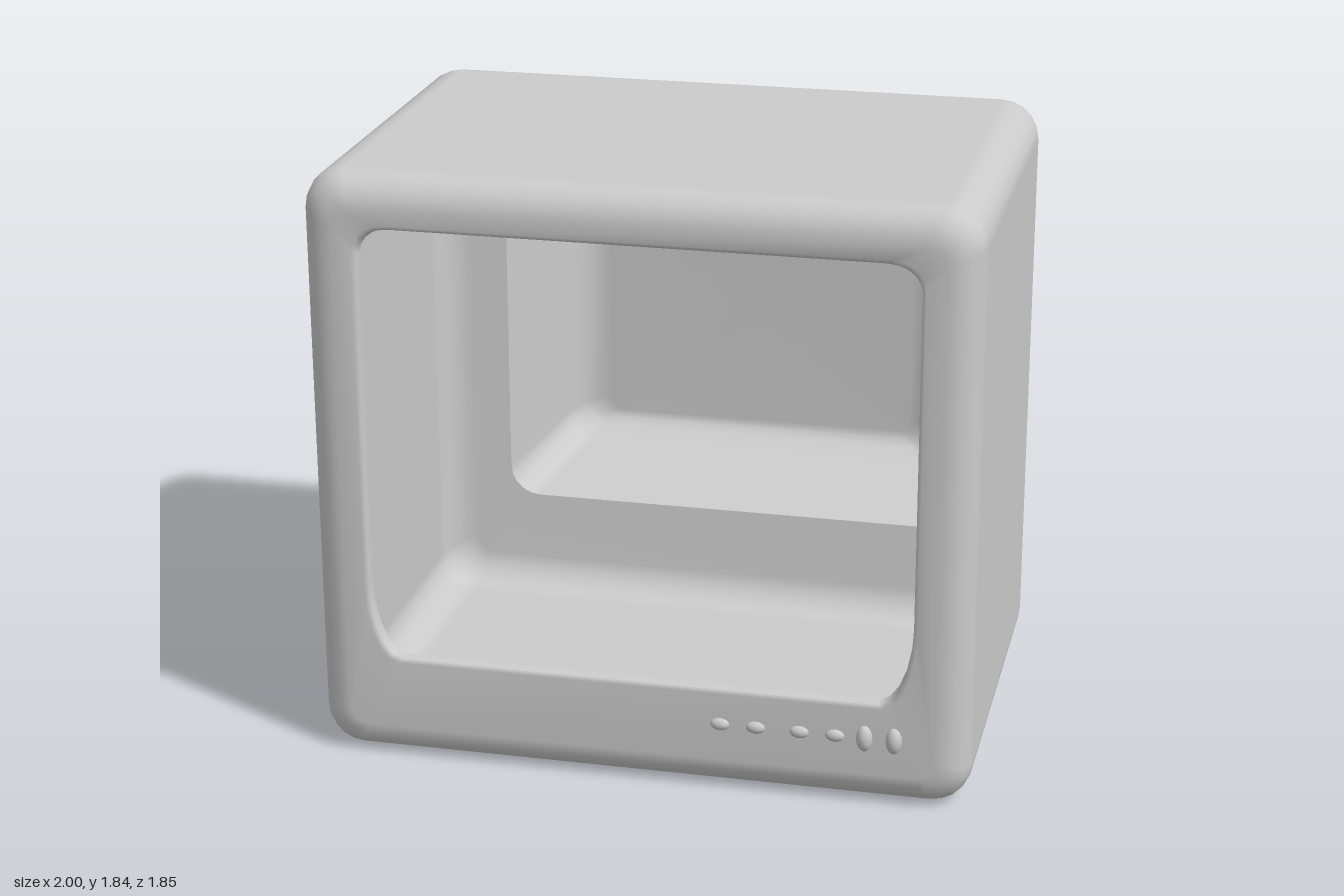
import * as THREE from 'three';

const material = new THREE.MeshStandardMaterial({ color: 0xcccccc, side: THREE.DoubleSide });
const STEPS = 5;

// Rounded rectangle in the plane z; corner radii may differ at top and bottom
function ring(cy, hw, hh, z, rx, ryTop = rx, ryBottom = ryTop) {
  const points = [];
  const corners = [[1, 1, ryTop], [-1, 1, ryTop], [-1, -1, ryBottom], [1, -1, ryBottom]];
  corners.forEach(([sx, sy, ry], k) => {
    for (let i = 0; i <= STEPS; i++) {
      const a = (k + i / STEPS) * Math.PI / 2;
      points.push([sx * (hw - rx) + rx * Math.cos(a), cy + sy * (hh - ry) + ry * Math.sin(a), z]);
    }
  });
  return points;
}

// Skin joining successive rings
function loft(name, rings) {
  const n = rings[0].length, index = [];
  for (let i = 0; i < rings.length - 1; i++) {
    for (let j = 0; j < n; j++) {
      const a = i * n + j, b = i * n + (j + 1) % n;
      index.push(a, a + n, b, b, a + n, b + n);
    }
  }
  const geometry = new THREE.BufferGeometry();
  geometry.setAttribute('position', new THREE.Float32BufferAttribute(rings.flat(2), 3));
  geometry.setIndex(index);
  geometry.computeVertexNormals();
  const mesh = new THREE.Mesh(geometry, material);
  mesh.name = name;
  return mesh;
}

export function createModel() {
  const group = new THREE.Group();
  group.name = 'television';
  const midY = 0.92, humpY = 0.875;

  // Hollow cabinet: screen opening, front face, rounded edges, sides and back wall
  const body = [
    ring(1.005, 0.825, 0.675, 0.86, 0.1, 0.08, 0.25),
    ring(1.005, 0.828, 0.678, 0.89, 0.1, 0.08, 0.25),
    ring(1.005, 0.84, 0.69, 0.9, 0.1, 0.08, 0.25),
  ];
  const edge = (inset, z) => body.push(ring(midY, 1 - inset, 0.92 - inset, z, 0.12 - inset * 0.6));
  for (let i = 0; i <= 5; i++) {
    const a = i / 5 * Math.PI / 2;
    edge(0.1 * (1 - Math.sin(a)), 0.8 + 0.1 * Math.cos(a));
  }
  for (let i = 0; i <= 5; i++) {
    const a = i / 5 * Math.PI / 2 * 0.9;
    edge(0.12 * (1 - Math.cos(a)), -0.35 - 0.115 * Math.sin(a));
  }
  body.push(ring(humpY, 0.78, 0.555, -0.488, 0.1));
  group.add(loft('cabinet', body));

  // Tapered tube housing with a rounded, closed back
  const hump = [
    ring(humpY, 0.78, 0.555, -0.488, 0.1),
    ring(humpY, 0.668, 0.468, -0.82, 0.09),
    ring(humpY, 0.65, 0.452, -0.86, 0.085),
    ring(humpY, 0.62, 0.43, -0.895, 0.075),
    ring(humpY, 0.58, 0.41, -0.916, 0.06),
    ring(humpY, 0.53, 0.385, -0.923, 0.05),
    ring(humpY, 0, 0, -0.923, 0),
  ];
  group.add(loft('tubeHousing', hump));

  // Control buttons: four wide ones, then two tall ones
  const dot = new THREE.SphereGeometry(1, 16, 12);
  [0.255, 0.363, 0.495, 0.602, 0.69, 0.778].forEach((x, i) => {
    const button = new THREE.Mesh(dot, material);
    button.name = 'button' + (i + 1);
    button.position.set(x, 0.217, 0.897);
    if (i < 4) button.scale.set(0.03, 0.02, 0.018);
    else button.scale.set(0.025, 0.042, 0.025);
    group.add(button);
  });
  return group;
}
